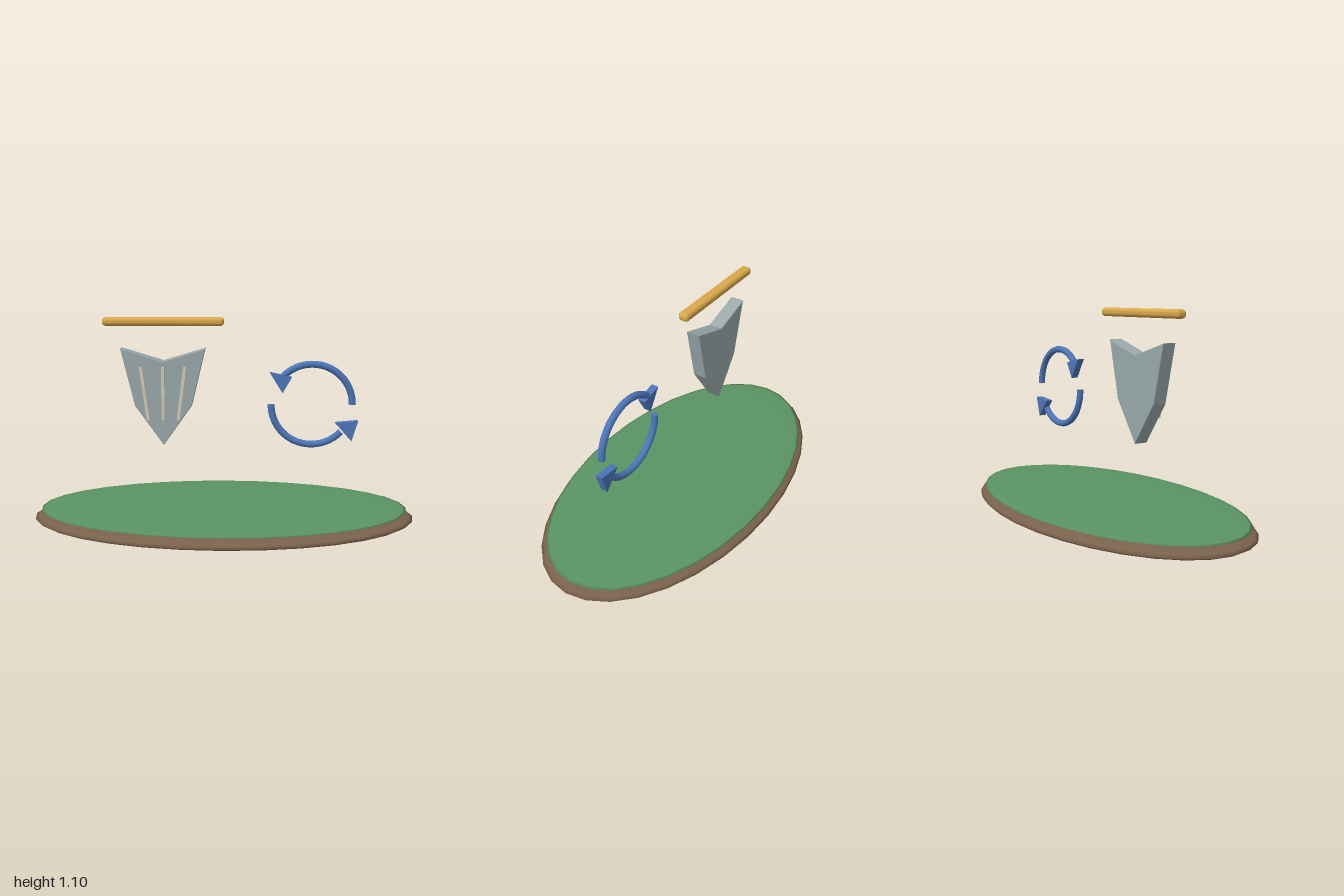
import * as THREE from 'three';
import { RoundedBoxGeometry } from 'three/addons/geometries/RoundedBoxGeometry.js';

const mat = (color) => new THREE.MeshStandardMaterial({ color, side: THREE.DoubleSide });

function add(parent, name, geometry, material, x = 0, y = 0, z = 0) {
  const mesh = new THREE.Mesh(geometry, material);
  mesh.name = name;
  mesh.position.set(x, y, z);
  parent.add(mesh);
  return mesh;
}

// Flat outline extruded symmetrically about z = 0
function plate(points, thickness, bevel) {
  const shape = new THREE.Shape(points.map(([x, y]) => new THREE.Vector2(x, y)));
  const depth = thickness - 2 * bevel;
  const geometry = new THREE.ExtrudeGeometry(shape, {
    depth, bevelEnabled: bevel > 0, bevelThickness: bevel, bevelSize: bevel,
    bevelOffset: -bevel, bevelSegments: 2,
  });
  return geometry.translate(0, 0, -depth / 2);
}

export function createModel() {
  const model = new THREE.Group();
  const soil = mat(0x7a624c), grass = mat(0x5a9463), gold = mat(0xd9a84a);
  const steel = mat(0x9aa9ab), pale = mat(0xd2cbba), blue = mat(0x4c76ba);

  // Ground: two flattened spheres
  const ball = new THREE.SphereGeometry(1, 32, 16);
  add(model, 'soilDisc', ball, soil, 0, 0.06, 0).scale.set(1, 0.058, 0.545);
  add(model, 'grassDisc', ball, grass, 0, 0.104, 0).scale.set(0.965, 0.018, 0.52);

  // Floating bar
  add(model, 'bar', new RoundedBoxGeometry(0.622, 0.043, 0.058, 4, 0.018), gold, -0.309, 1.083, 0);

  // Shield with three raised strips
  const shield = new THREE.Group();
  shield.name = 'shield';
  shield.position.x = -0.31;
  model.add(shield);
  add(shield, 'shieldPlate', plate([
    [0, 0.445], [0.147, 0.652], [0.218, 0.948], [0, 0.882], [-0.218, 0.948], [-0.147, 0.652],
  ], 0.074, 0.004), steel);
  for (const side of [-1, 0, 1]) {
    const strip = add(shield, 'shieldStrip', new THREE.BoxGeometry(0.016, 0.276, 0.02), pale,
      side * 0.095, 0.716, 0.045);
    strip.rotation.z = -side * 0.13;
  }

  // Pair of circling arrows
  const arrows = new THREE.Group();
  arrows.name = 'circlingArrows';
  arrows.position.set(0.457, 0.656, 0);
  model.add(arrows);
  const radius = 0.21, tube = 0.018;
  const heads = [
    [[-0.219, 0.168], [-0.152, 0.061], [-0.105, 0.144]],
    [[0.123, -0.095], [0.209, -0.191], [0.241, -0.084]],
  ];
  heads.forEach((points, i) => {
    const start = i * Math.PI, sweep = Math.PI * 0.76;
    const arc = add(arrows, 'arrowArc', new THREE.TorusGeometry(radius, tube, 10, 28, sweep), blue);
    arc.rotation.z = start;
    add(arrows, 'arrowHead', plate(points, 0.038, 0), blue);
    // Closed tail end
    const cap = add(arrows, 'arrowTail', new THREE.CircleGeometry(tube, 10), blue,
      radius * Math.cos(start), 0, 0);
    cap.rotation.x = Math.PI / 2;
  });

  return model;
}
